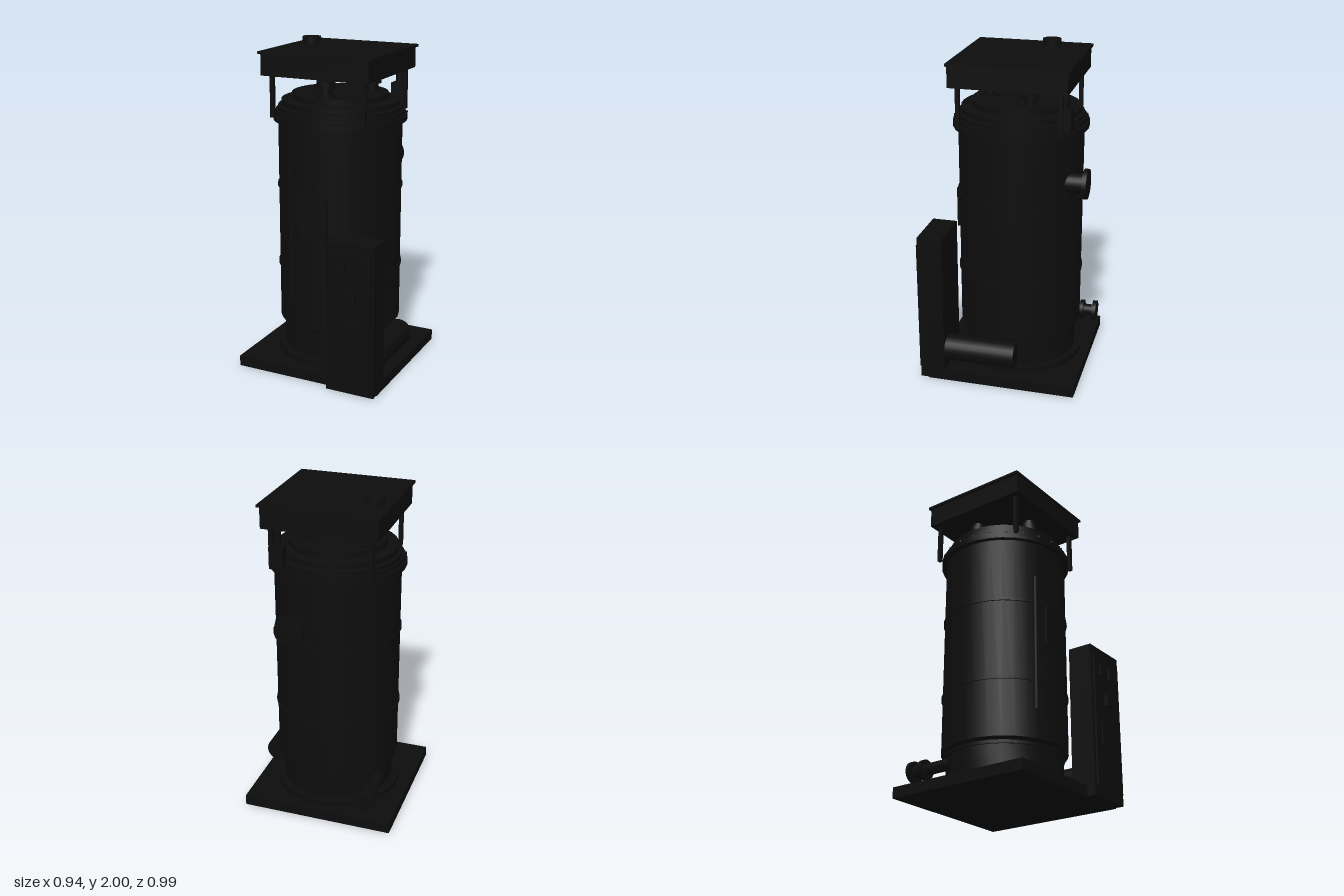
import * as THREE from 'three';
import { toCreasedNormals } from 'three/addons/utils/BufferGeometryUtils.js';

const black = new THREE.MeshStandardMaterial({ color: 0x0d0d0d });
black.name = 'black enamel';

const ZC = -0.055; // vessel axis

export function createModel() {
  const model = new THREE.Group();
  model.name = 'boiler';

  const add = (name, geo, x = 0, y = 0, z = 0, parent = model) => {
    const mesh = new THREE.Mesh(geo, black);
    mesh.name = name;
    mesh.position.set(x, y, z);
    parent.add(mesh);
    return mesh;
  };
  // box given by its limits on each axis
  const block = (name, x0, x1, y0, y1, z0, z1, parent = model) =>
    add(name, new THREE.BoxGeometry(x1 - x0, y1 - y0, z1 - z0),
      (x0 + x1) / 2, (y0 + y1) / 2, (z0 + z1) / 2, parent);
  const turned = (profile, segments = 32) => toCreasedNormals(
    new THREE.LatheGeometry(profile.map(p => new THREE.Vector2(...p)), segments), 0.5);
  const alongZ = (r, z0, z1, segments = 24) =>
    new THREE.CylinderGeometry(r, r, z1 - z0, segments).rotateX(Math.PI / 2).translate(0, 0, (z0 + z1) / 2);

  // base plate and vessel
  block('basePlate', -0.47, 0.465, 0, 0.065, -0.495, 0.41);
  add('vessel', turned([
    [0, 0.065], [0.39, 0.065], [0.39, 0.1], [0.345, 0.1], [0.345, 0.25], [0.355, 0.25],
    [0.355, 0.27], [0.375, 0.285], [0.375, 1.54], [0.405, 1.54], [0.405, 1.575],
    [0.39, 1.575], [0.39, 1.6], [0.375, 1.6], [0.375, 1.625], [0.355, 1.63],
    [0.355, 1.66], [0.29, 1.665], [0.29, 1.7], [0, 1.7],
  ]), 0, 0, ZC);
  for (const y of [0.635, 1.135]) {
    add('shellBand', turned([[0.374, -0.008], [0.383, -0.008], [0.383, 0.008], [0.374, 0.008]]), 0, y, ZC);
  }

  // bolts around the top flange
  for (let i = 0; i < 24; i++) {
    const a = (i + 0.5) / 24 * Math.PI * 2;
    add('flangeBolt', new THREE.CylinderGeometry(0.008, 0.008, 0.012, 6),
      0.397 * Math.sin(a), 1.58, ZC + 0.397 * Math.cos(a));
  }

  // three valves on the lid
  for (let i = 0; i < 3; i++) {
    const a = i * Math.PI * 2 / 3;
    add('lidValve', turned([
      [0.06, 1.7], [0.06, 1.71], [0.038, 1.71], [0.038, 1.75], [0.056, 1.75],
      [0.056, 1.795], [0.04, 1.795], [0.04, 1.83],
    ], 20), 0.19 * Math.sin(a), 0, ZC + 0.19 * Math.cos(a));
  }

  // canopy on four posts
  const canopy = new THREE.Group();
  canopy.name = 'canopy';
  model.add(canopy);
  block('canopySkirt', -0.345, 0.34, 1.82, 1.945, -0.4, 0.292, canopy);
  block('canopyRoof', -0.36, 0.355, 1.945, 1.96, -0.41, 0.3, canopy);
  for (const x of [-0.295, 0.295]) {
    for (const z of [-0.355, 0.245]) {
      block('canopyPost', x - 0.012, x + 0.012, 1.57, 1.83, z - 0.012, z + 0.012, canopy);
    }
  }
  add('roofVent', new THREE.CylinderGeometry(0.056, 0.056, 0.045, 24), -0.255, 1.9775, -0.178, canopy);

  // junction box with its conduit
  block('junctionBox', 0.21, 0.29, 1.6, 1.725, -0.41, -0.335);
  add('conduit', new THREE.CylinderGeometry(0.022, 0.022, 0.12, 12), 0.25, 1.77, -0.37);

  // rear nozzles
  const nozzle = (name, x, y, pipe, flange) => {
    const group = new THREE.Group();
    group.name = name;
    group.position.set(x, y, 0);
    model.add(group);
    add('pipe', alongZ(pipe, -0.48, -0.2), 0, 0, 0, group);
    add('outerFlange', alongZ(flange, -0.494, -0.468), 0, 0, 0, group);
    return group;
  };
  nozzle('upperNozzle', 0.15, 1.25, 0.06, 0.09);
  const drain = nozzle('drainNozzle', -0.31, 0.19, 0.035, 0.064);
  add('innerFlange', alongZ(0.06, -0.41, -0.385), 0, 0, 0, drain);

  // horizontal drum beside the vessel
  add('sideDrum', alongZ(0.08, -0.12, 0.325), 0.385, 0.19, 0);

  // control cabinet
  const cabinet = new THREE.Group();
  cabinet.name = 'controlCabinet';
  model.add(cabinet);
  block('cabinetBody', 0.158, 0.465, 0.005, 0.937, 0.31, 0.461, cabinet);
  block('cabinetDoor', 0.18, 0.447, 0.065, 0.88, 0.46, 0.473, cabinet);
  block('lowerPanel', 0.23, 0.4, 0.32, 0.47, 0.472, 0.483, cabinet);
  for (const x of [0.26, 0.355]) {
    block('upperGauge', x - 0.03, x + 0.03, 0.755, 0.815, 0.472, 0.487, cabinet);
  }
  block('displayBox', 0.28, 0.355, 0.57, 0.64, 0.472, 0.494, cabinet);

  // front access plate and sight pipe
  block('accessPlate', -0.095, 0.095, 0.88, 1.13, 0.29, 0.324);
  add('sightPipe', new THREE.CylinderGeometry(0.012, 0.012, 0.85, 10), -0.16, 0.88, 0.288);

  return model;
}
